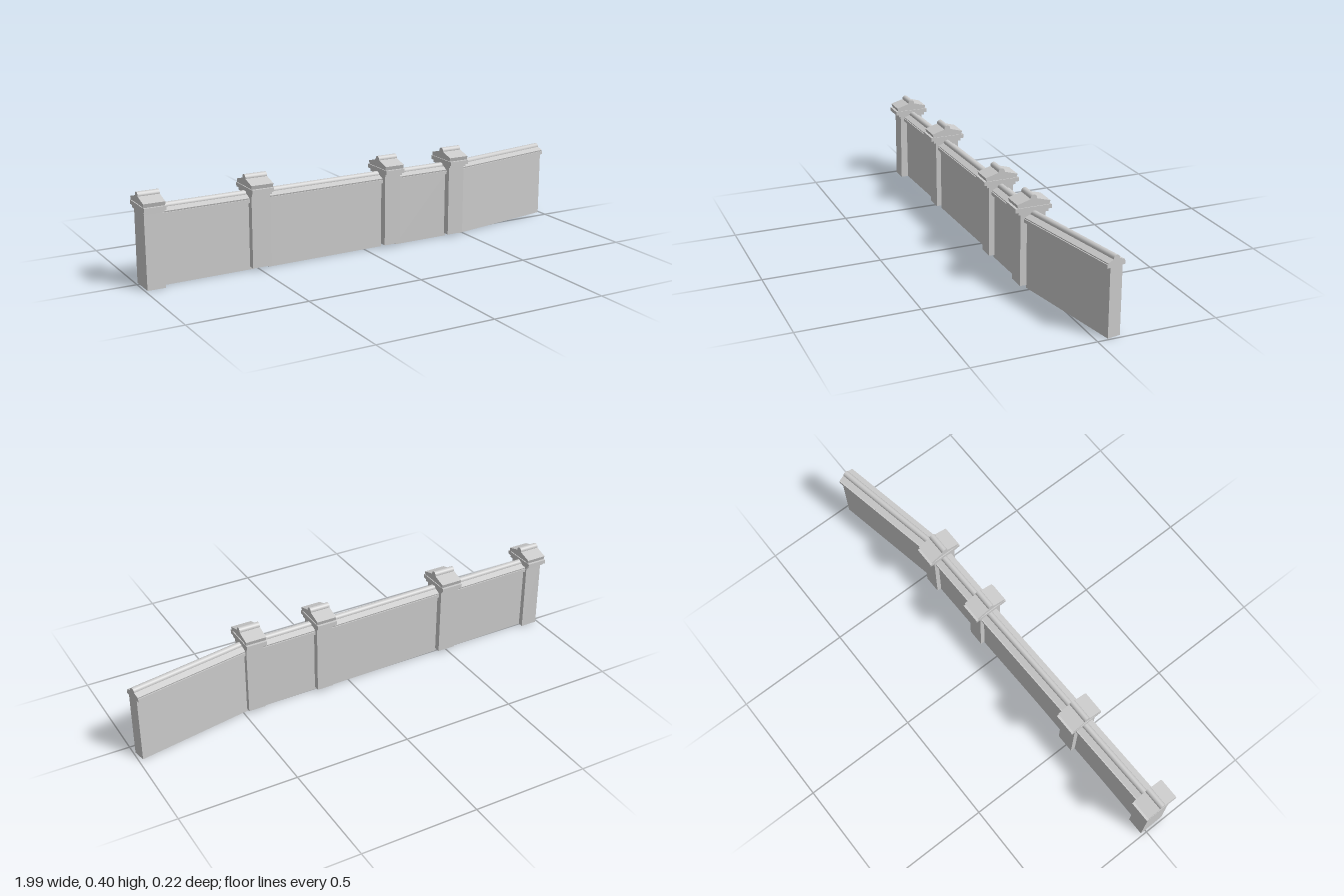
import * as THREE from 'three';

const material = new THREE.MeshStandardMaterial({ color: 0xcccccc });

// Prism with an (across, height) profile, extruded along local z and centred on it
function prism(name, points, length) {
  const shape = new THREE.Shape(points.map(([x, y]) => new THREE.Vector2(x, y)));
  const geometry = new THREE.ExtrudeGeometry(shape, { depth: length, bevelEnabled: false });
  geometry.translate(0, 0, -length / 2);
  const mesh = new THREE.Mesh(geometry, material);
  mesh.name = name;
  return mesh;
}

const rect = (half, y0, y1) => [[-half, y0], [half, y0], [half, y1], [-half, y1]];

// Pitched slab: bottom eave, bottom apex, then the upper surface back again
const roof = (half, eave, apex, thick) => [
  [-half, eave], [0, apex], [half, eave],
  [half + thick * 0.28, eave + thick * 0.96], [0, apex + thick], [-half - thick * 0.28, eave + thick * 0.96],
];

function ridge(name, radius, y, length) {
  const mesh = new THREE.Mesh(new THREE.CylinderGeometry(radius, radius, length, 16), material);
  mesh.name = name;
  mesh.rotation.x = Math.PI / 2;
  mesh.position.y = y;
  return mesh;
}

// Straight run of wall with ledge moulding and tiled coping
function wallRun(x0, z0, x1, z1) {
  const run = new THREE.Group();
  const dx = x1 - x0, dz = z1 - z0, length = Math.hypot(dx, dz);
  run.add(
    prism('wallPanel', rect(0.028, 0, 0.285), length),
    prism('copingLedge', rect(0.041, 0.283, 0.297), length),
    prism('copingCore', [[-0.032, 0.297], [0.032, 0.297], [0, 0.31]], length),
    prism('copingRoof', roof(0.034, 0.288, 0.303, 0.015), length),
    ridge('copingRidge', 0.014, 0.314, length),
  );
  run.position.set((x0 + x1) / 2, 0, (z0 + z1) / 2);
  run.rotation.y = Math.atan2(dx, dz);
  return run;
}

// Pier with stepped cornice and a small gabled cap whose ridge follows the wall
function pier(x, z, half, base, drop, flare) {
  const group = new THREE.Group();
  const body = prism('pierShaft', [
    [-0.053 - flare, base], [0.053 + flare, base], [0.053, 0.318], [-0.053, 0.318],
  ], half * 2);
  const cap = new THREE.Group();
  cap.name = 'pierCap';
  cap.add(
    prism('lowerCornice', rect(0.064, 0.316, 0.328), half * 2 + 0.007),
    prism('upperCornice', rect(0.077, 0.328, 0.345), half * 2 + 0.014),
    prism('capGable', [[-0.064, 0.345], [0.064, 0.345], [0, 0.367]], half * 2 + 0.006),
    prism('capRoof', roof(0.066, 0.345, 0.365, 0.017), half * 2 + 0.014),
    ridge('capRidge', 0.014, 0.381, half * 2 + 0.014),
  );
  cap.position.y = -drop;
  group.add(body, cap);
  group.position.set(x, 0, z);
  group.rotation.y = Math.PI / 2;
  return group;
}

export function createModel() {
  const model = new THREE.Group();
  model.name = 'boundaryWall';

  // x, z, half width, base height, cap drop, shaft flare at the foot
  const piers = [
    [-0.952, 0.034, 0.038, 0, 0.009, 0.003],
    [-0.494, 0.025, 0.041, 0.012, 0, 0],
    [0.122, 0.022, 0.037, 0.012, 0, 0],
    [0.443, 0.025, 0.038, 0.012, 0, 0],
  ];
  piers.forEach((p, i) => {
    const mesh = pier(...p);
    mesh.name = 'pier' + (i + 1);
    model.add(mesh);
  });

  // Wall centre lines between the piers, the last one bending backwards
  const runs = [
    [-0.952, 0.03, -0.515, 0.021],
    [-0.455, 0.028, 0.085, 0.016],
    [0.152, 0.024, 0.41, 0.02],
    [0.475, 0.023, 0.987, -0.073],
  ];
  runs.forEach((r, i) => {
    const run = wallRun(...r);
    run.name = 'wallRun' + (i + 1);
    model.add(run);
  });

  return model;
}
